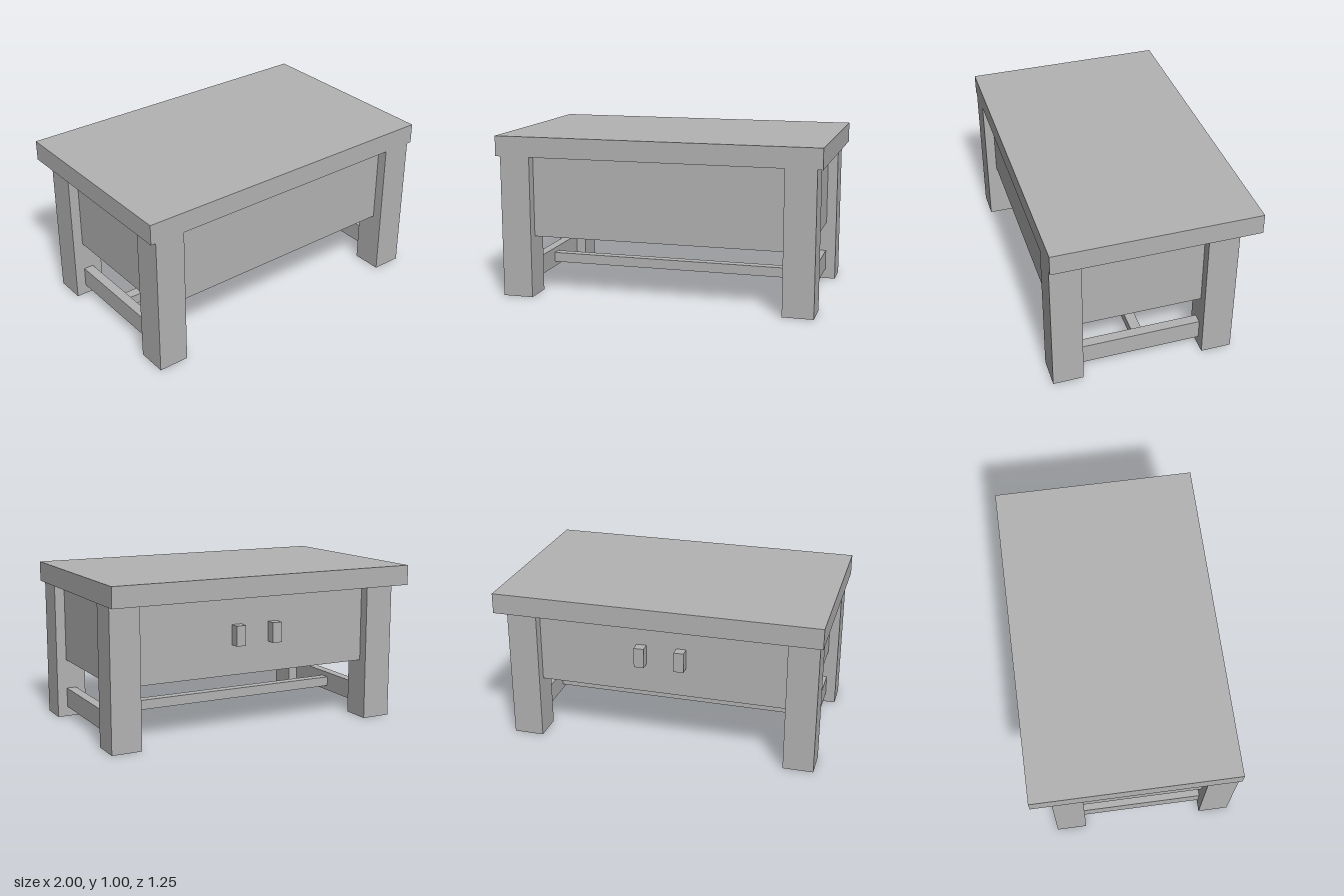
import * as THREE from 'three';

export function createModel() {
  const model = new THREE.Group();
  const grey = new THREE.MeshStandardMaterial({ color: 0xb3b3b3 });
  grey.name = 'plain grey';

  // Box given by its lower and upper corners
  function addBox(name, [x0, y0, z0], [x1, y1, z1]) {
    const mesh = new THREE.Mesh(new THREE.BoxGeometry(x1 - x0, y1 - y0, z1 - z0), grey);
    mesh.position.set((x0 + x1) / 2, (y0 + y1) / 2, (z0 + z1) / 2);
    mesh.name = name;
    model.add(mesh);
  }

  // Top slab, flush with the front legs and overhanging at the back
  addBox('tableTop', [-1, 0.875, -0.625], [1, 1, 0.625]);

  // Drawer body, set in from the leg faces
  addBox('body', [-0.906, 0.375, -0.4375], [0.906, 0.875, 0.5625]);

  for (const [side, s] of [['left', 1], ['right', -1]]) {
    // Mirrored span across x
    const span = (a, b) => (s > 0 ? [a, b] : [-b, -a]);
    const [l0, l1] = span(0.781, 0.969);
    addBox(side + 'FrontLeg', [l0, 0, 0.4375], [l1, 0.875, 0.625]);
    addBox(side + 'BackLeg', [l0, 0, -0.5], [l1, 0.875, -0.3125]);

    // Side stretcher between the legs
    const [r0, r1] = span(0.844, 0.906);
    addBox(side + 'Stretcher', [r0, 0.0625, -0.3125], [r1, 0.1875, 0.4375]);

    // Door knob on the back
    const [k0, k1] = span(0.094, 0.156);
    addBox(side + 'Knob', [k0, 0.5625, -0.5], [k1, 0.6875, -0.4375]);
  }

  // Long rail joining the stretchers
  addBox('centreRail', [-0.844, 0.094, 0.031], [0.844, 0.156, 0.094]);

  return model;
}
